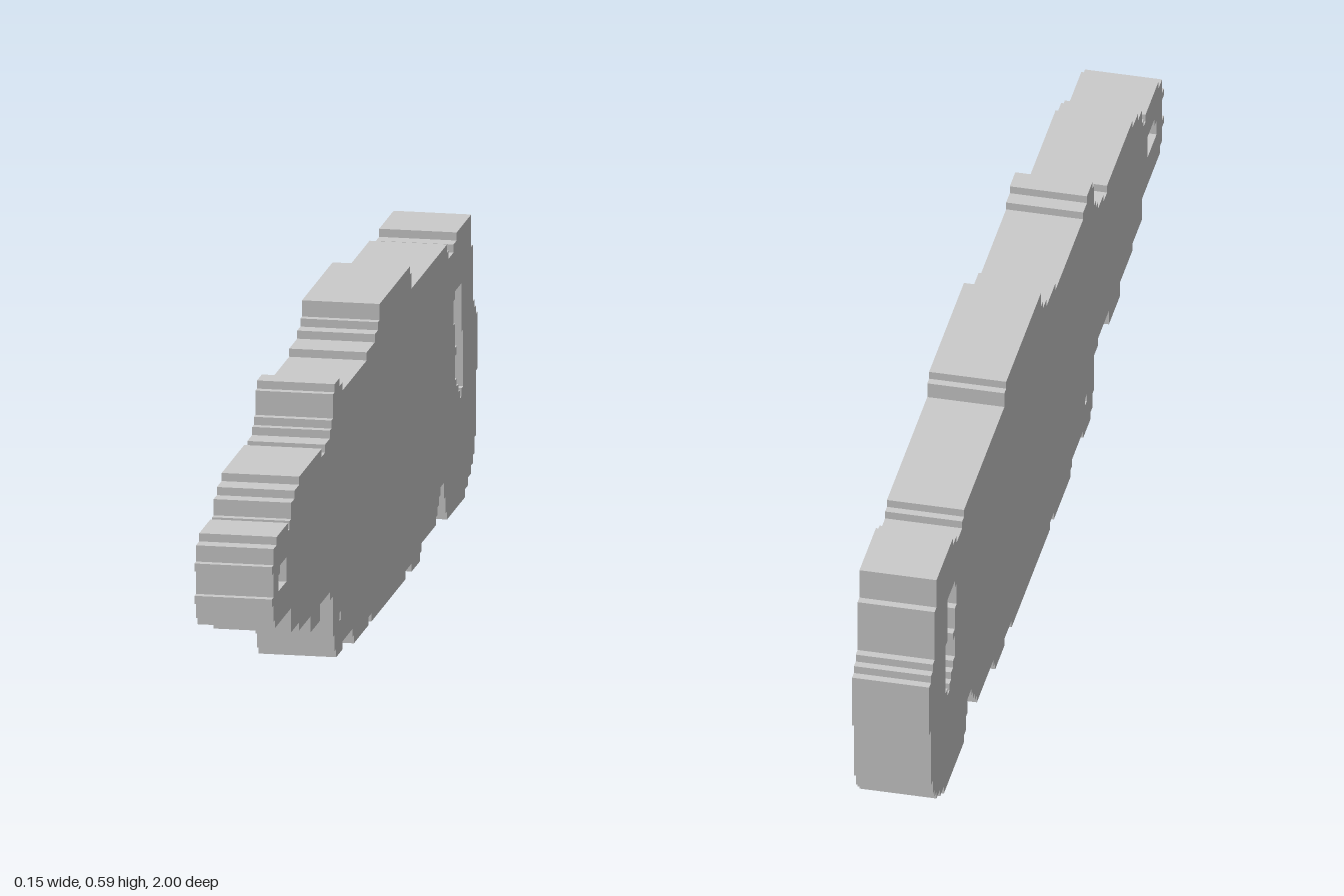
import * as THREE from 'three';

const CELL = 1 / 64;      // size of one step of the outline
const LENGTH = 128;       // cells from nose to tail
const THICKNESS = 0.148;

// Surface heights as [first cell from the nose, height in cells]
const TOP = [
  [1, 24], [3, 25], [10, 24], [11, 25], [12, 27], [14, 28], [17, 29], [31, 28], [33, 29],
  [36, 30], [37, 31], [38, 34], [39, 35], [42, 34], [44, 33], [59, 34], [64, 35], [66, 36],
  [67, 38], [86, 37], [87, 35], [109, 34], [110, 33], [113, 34], [115, 35], [124, 31],
  [125, 24], [126, 23], [127, 22],
];
const BOTTOM = [
  [1, 15], [2, 14], [12, 11], [13, 11], [17, 10], [24, 8], [30, 10], [36, 9], [38, 4],
  [39, 2], [40, 1], [44, 2], [50, 1], [51, 0], [60, 1], [62, 0], [83, 1], [87, 0], [92, 1],
  [93, 2], [102, 3], [103, 4], [104, 5], [105, 6], [107, 4], [108, 2], [109, 1], [120, 2],
  [122, 3], [124, 4], [125, 5], [126, 7], [127, 15],
];

// Turn a list of steps into the corners of a staircase line
function staircase(steps) {
  return steps.flatMap(([i, j], k) => {
    const end = k + 1 < steps.length ? steps[k + 1][0] : LENGTH;
    return [[i, j], [end, j]];
  });
}

const toPoints = (cells) =>
  cells.map(([i, j]) => new THREE.Vector2(i * CELL - 1, j * CELL));

export function createModel() {
  const group = new THREE.Group();
  group.name = 'steppedPlate';

  // Outline: underside to the tail, back over the top, then the nose teeth
  const noseTeeth = [[1, 22], [0, 22], [0, 21], [1, 21], [1, 18], [0, 18], [0, 17], [1, 17]];
  const shape = new THREE.Shape(toPoints([
    ...staircase(BOTTOM), ...staircase(TOP).reverse(), ...noseTeeth,
  ]));

  // Openings: nose slot, pin hole, tail grip
  const noseSlot = [[4, 18], [9, 18], [9, 21], [5, 21], [5, 20], [4, 20]];
  const pinHole = [[42, 5], [43, 5], [43, 6], [42, 6]];
  const tailGrip = [
    [117, 14], [118, 14], [118, 15], [119, 15], [119, 22], [118, 22], [118, 28], [114, 28],
    [114, 27], [113, 27], [113, 24], [114, 24], [114, 21], [115, 21], [115, 20], [114, 20],
    [114, 17], [115, 17], [115, 16], [116, 16], [116, 15], [117, 15],
  ];
  for (const hole of [noseSlot, pinHole, tailGrip]) {
    shape.holes.push(new THREE.Path(toPoints(hole)));
  }

  // Extrude across the width, nose towards +z
  const geometry = new THREE.ExtrudeGeometry(shape, { depth: THICKNESS, bevelEnabled: false });
  geometry.translate(0, 0, -THICKNESS / 2);
  geometry.rotateY(Math.PI / 2);

  const body = new THREE.Mesh(
    geometry,
    new THREE.MeshStandardMaterial({ color: 0xcccccc, flatShading: true }),
  );
  body.name = 'body';
  group.add(body);
  return group;
}
